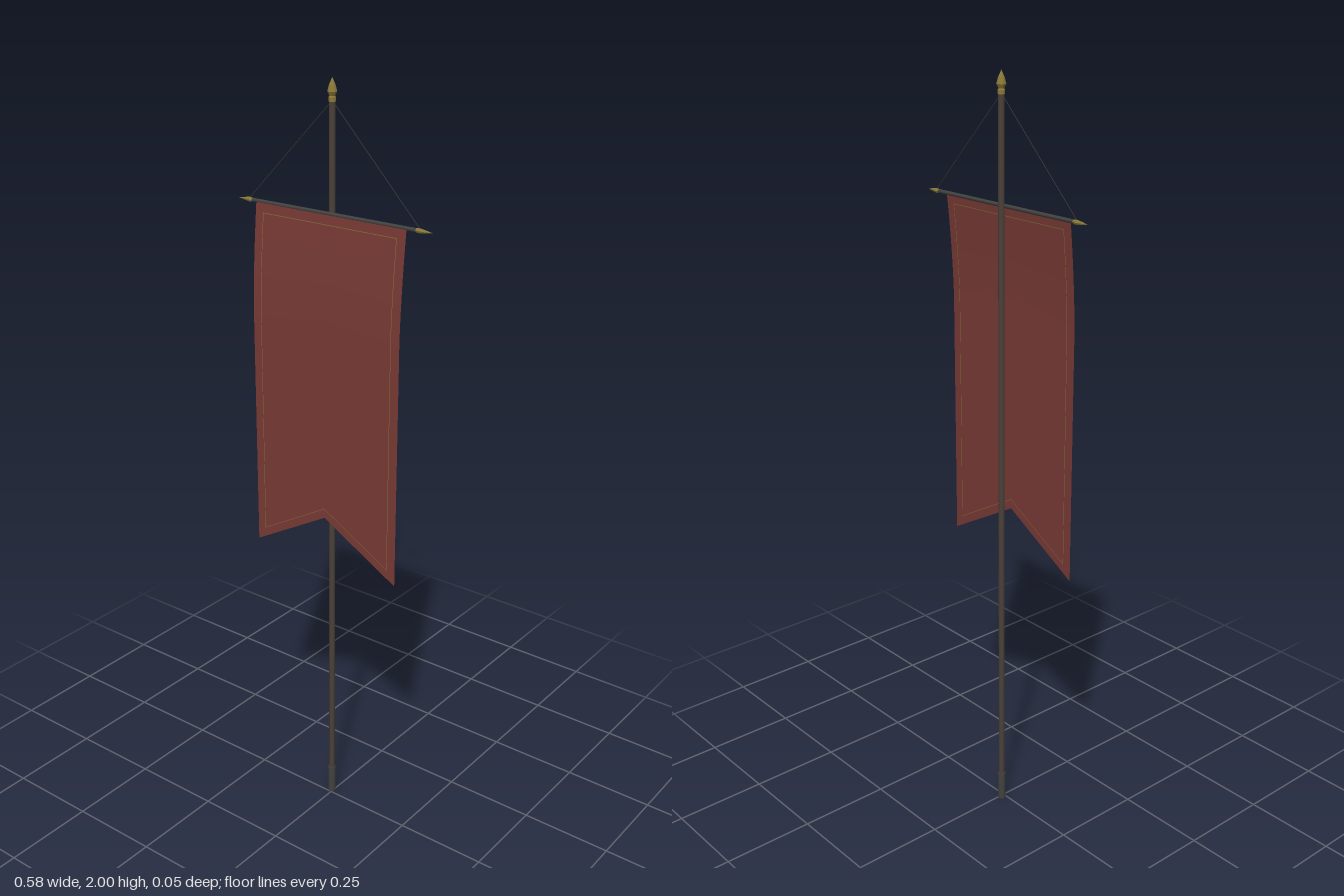
import * as THREE from 'three';

const mat = (name, color, side = THREE.FrontSide) => {
  const m = new THREE.MeshStandardMaterial({ color, side });
  m.name = name;
  return m;
};

export function createModel() {
  const wood = mat('dark wood', 0x4a4038);
  const iron = mat('dark iron', 0x414240);
  const gold = mat('old gold', 0x8a7838);
  const goldTrim = mat('gold thread', 0x86703a, THREE.DoubleSide);
  const cloth = mat('red cloth', 0x783a35, THREE.DoubleSide);
  const cordMat = mat('cord', 0x3c3836);

  const group = new THREE.Group();
  group.name = 'banner';
  const add = (name, geometry, material, x = 0, y = 0, z = 0) => {
    const mesh = new THREE.Mesh(geometry, material);
    mesh.name = name;
    mesh.position.set(x, y, z);
    group.add(mesh);
    return mesh;
  };
  const lathe = (pts, sides) => {
    const g = new THREE.LatheGeometry(pts.map(p => new THREE.Vector2(...p)), sides).toNonIndexed();
    g.computeVertexNormals();
    return g;
  };

  const cx = -0.005, pz = -0.011, barY = 1.683;

  // Pole, foot ferrule and spear finial
  add('pole', new THREE.CylinderGeometry(0.008, 0.008, 1.9, 12), wood, cx, 1.0, pz);
  add('footFerrule', new THREE.CylinderGeometry(0.0105, 0.0105, 0.08, 12), iron, cx, 0.04, pz);
  add('finial', lathe([[0, 1.945], [0.009, 1.945], [0.009, 1.955], [0.007, 1.958],
    [0.012, 1.968], [0.008, 1.983], [0, 2]], 10), gold, cx, 0, pz);

  // Crossbar with pointed tips
  add('crossbar', new THREE.CylinderGeometry(0.005, 0.005, 0.52, 10), iron, 0, barY, -0.001).rotation.z = Math.PI / 2;
  for (const s of [1, -1]) {
    add('crossbarTip', lathe([[0, 0.245], [0.005, 0.245], [0.0062, 0.255], [0.004, 0.27], [0, 0.29]], 8),
      gold, 0, barY, -0.001).rotation.z = -s * Math.PI / 2;
  }

  // Suspension cords
  for (const s of [1, -1]) {
    const line = new THREE.LineCurve3(new THREE.Vector3(cx, 1.947, pz), new THREE.Vector3(s * 0.255, 1.688, -0.001));
    add('cord', new THREE.TubeGeometry(line, 1, 0.001, 5), cordMat);
  }

  // Cloth hangs forward off the bar, then drops straight
  const left = cx - 0.226, right = cx + 0.226;
  const drape = y => {
    const t = Math.min(1, Math.max(0, (barY - y) / 0.283));
    return 0.003 + 0.019 * (1 - (1 - t) ** 1.6);
  };
  const hem = x => 0.885 - 0.128 * Math.abs(x - cx) / 0.226;
  const sheet = (xs, top, bottom, offset = 0, rows = 40) => {
    const pos = [], idx = [];
    for (let r = 0; r <= rows; r++) {
      for (const x of xs) {
        const y = THREE.MathUtils.lerp(top(x), bottom(x), r / rows);
        pos.push(x, y, drape(y) + offset);
      }
    }
    const n = xs.length;
    for (let r = 0; r < rows; r++) {
      for (let c = 0; c < n - 1; c++) {
        const a = r * n + c;
        idx.push(a, a + n, a + 1, a + 1, a + n, a + n + 1);
      }
    }
    const g = new THREE.BufferGeometry();
    g.setAttribute('position', new THREE.Float32BufferAttribute(pos, 3));
    g.setIndex(idx);
    g.computeVertexNormals();
    return g;
  };
  add('bannerCloth', sheet([left, cx, right], () => barY, hem), cloth);

  // Fine gold border on both faces
  const w = 0.0015, inset = 0.025;
  for (const o of [0.0008, -0.0008]) {
    for (const x of [left + inset, right - inset]) {
      add('sideTrim', sheet([x - w / 2, x + w / 2], () => barY - inset, x => hem(x) + inset, o), goldTrim);
    }
    const span = [left + inset, cx, right - inset];
    add('topTrim', sheet(span, () => barY - inset, () => barY - inset - w, o, 1), goldTrim);
    add('hemTrim', sheet(span, x => hem(x) + inset + w, x => hem(x) + inset, o, 1), goldTrim);
  }
  return group;
}
